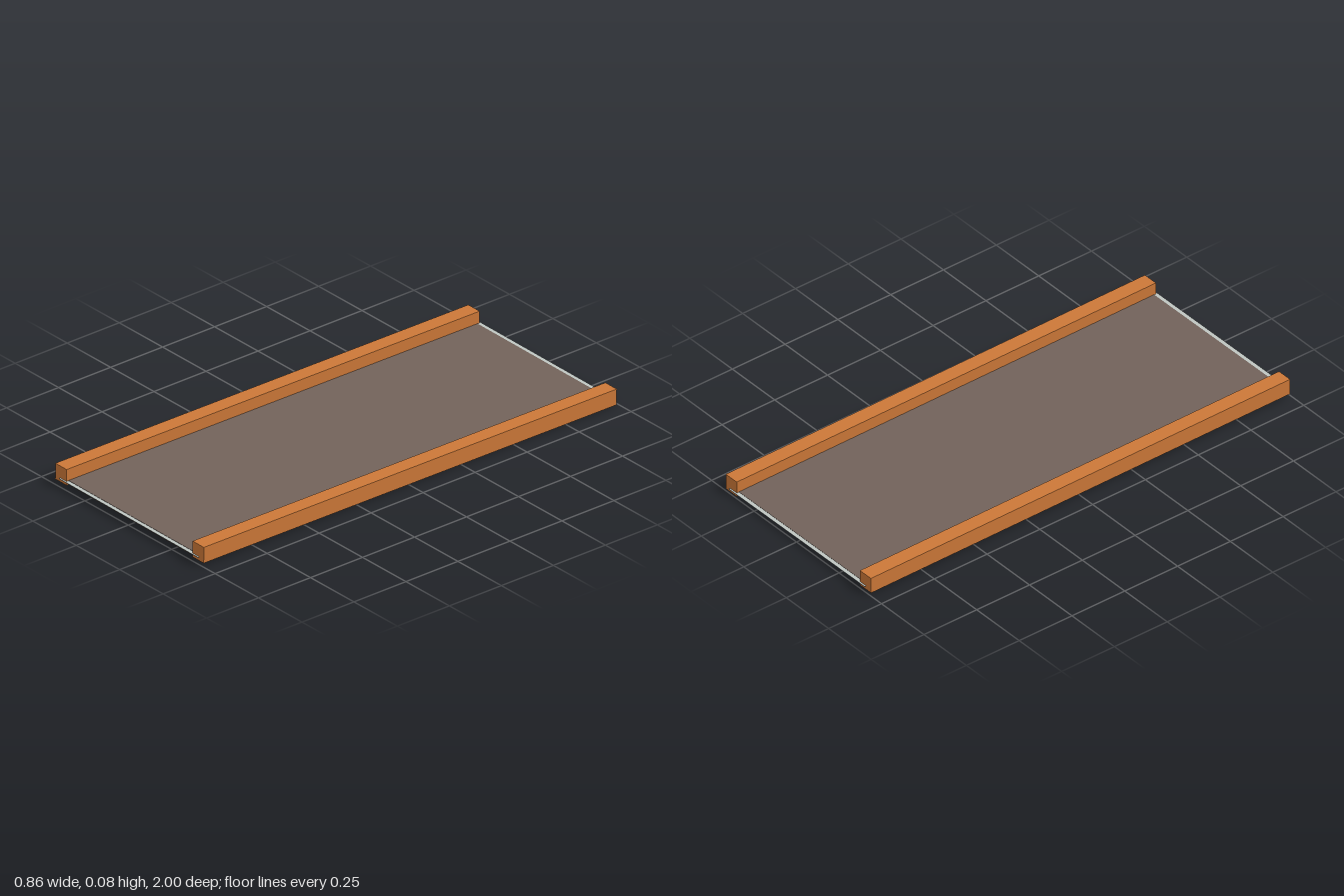
import * as THREE from 'three';

export function createModel() {
  const model = new THREE.Group();
  model.name = 'railedRamp';

  const mat = (name, color) => {
    const m = new THREE.MeshStandardMaterial({ color });
    m.name = name;
    return m;
  };
  const orange = mat('orangeRail', 0xcc7838);
  const brown = mat('brownDeck', 0x72625a);
  const silver = mat('paleSheet', 0xbfc6c2);

  // Everything lies on a deck with a very slight lean to the back and side
  const deck = new THREE.Group();
  deck.name = 'deck';
  deck.position.y = 0.0103;
  deck.rotation.set(-0.0051, 0, -0.0063);
  model.add(deck);

  // Box given by its bottom height
  const slab = (name, material, w, h, d, x, bottom) => {
    const mesh = new THREE.Mesh(new THREE.BoxGeometry(w, h, d), material);
    mesh.name = name;
    mesh.position.set(x, bottom + h / 2, 0);
    deck.add(mesh);
  };

  // Deck layers: core board, pale sheet showing at both ends, top cover
  slab('coreBoard', brown, 0.8, 0.016, 1.966, 0, -0.0007);
  slab('paleSheet', silver, 0.8, 0.001, 1.999, 0, 0.0153);
  slab('topCover', brown, 0.8, 0.001, 1.966, 0, 0.0163);

  // Side rails
  for (const side of [-1, 1]) {
    slab(side > 0 ? 'leftRail' : 'rightRail', orange, 0.065, 0.066, 1.985, side * 0.395 - 0.002, 0);
  }

  return model;
}
